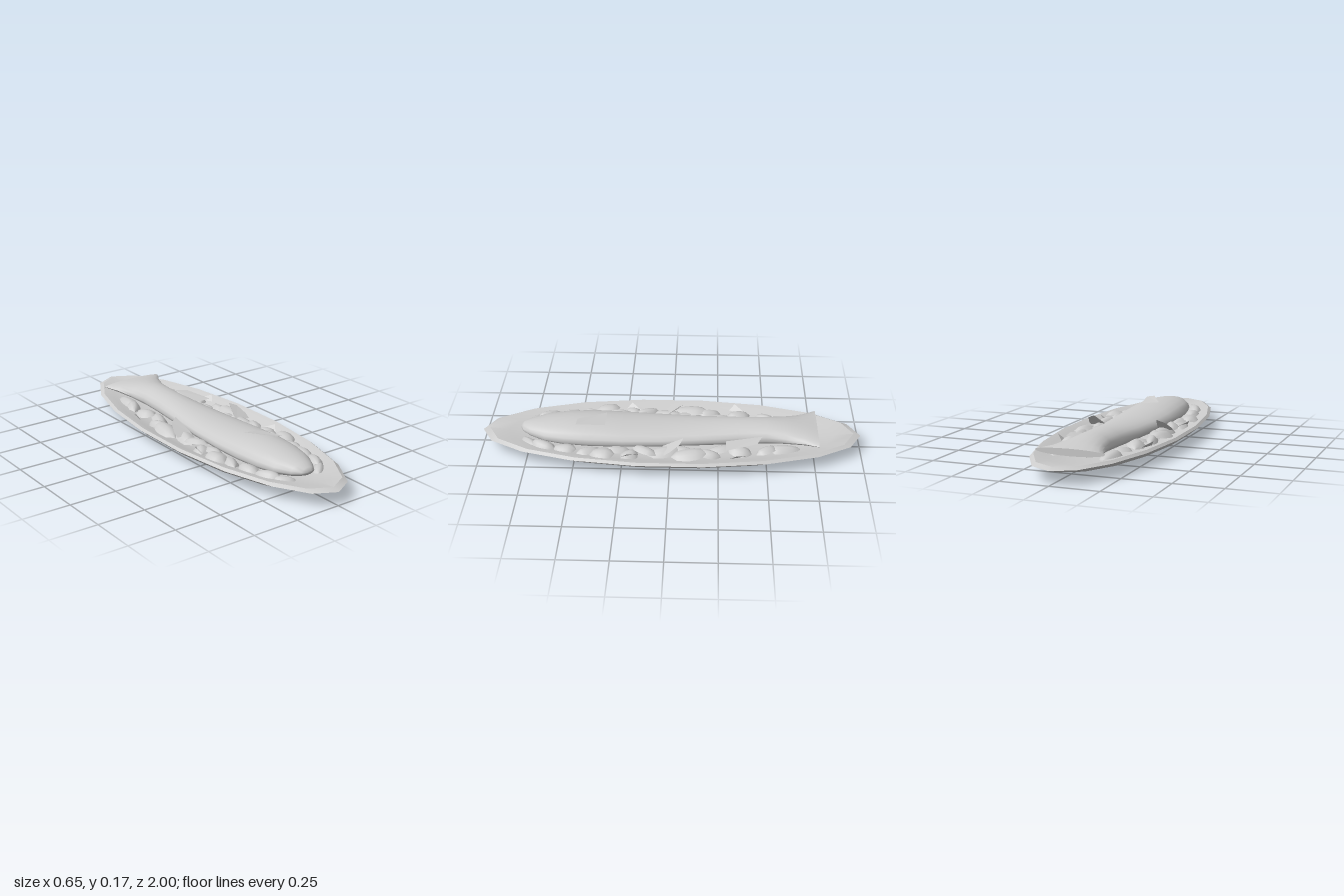
import * as THREE from 'three';
import { toCreasedNormals, mergeVertices } from 'three/addons/utils/BufferGeometryUtils.js';

const mat = new THREE.MeshStandardMaterial({ color: 0xcccccc });
const thin = new THREE.MeshStandardMaterial({ color: 0xcccccc, side: THREE.DoubleSide });

function add(parent, name, geometry, material = mat) {
  const mesh = new THREE.Mesh(geometry, material);
  mesh.name = name;
  parent.add(mesh);
  return mesh;
}

// Fan of triangles through an outline of [x, y, z] corners
function panel(corners) {
  const g = new THREE.BufferGeometry();
  g.setAttribute('position', new THREE.Float32BufferAttribute(corners.flat(), 3));
  const index = [];
  for (let i = 1; i < corners.length - 1; i++) index.push(0, i, i + 1);
  g.setIndex(index);
  const flat = g.toNonIndexed();
  flat.computeVertexNormals();
  return flat;
}

// Oval platter: an 18-sided turned profile stretched along z
function platter() {
  const profile = [
    [0, 0.003], [0.1, 0.005], [0.195, 0.02], [0.25, 0.04], [0.29, 0.04],
    [0.33, 0.073], [0.318, 0.085], [0.285, 0.075], [0.25, 0.058],
    [0.19, 0.044], [0.1, 0.034], [0, 0.032],
  ].map(([r, y]) => new THREE.Vector2(r, y));
  const g = new THREE.LatheGeometry(profile, 18);
  g.scale(1, 1, 1 / 0.33);
  return toCreasedNormals(g, 0.45);
}

// Fish body: elliptical sections from tail to snout
function fishBody() {
  const sides = 20;
  // z, half width, middle height, top, bottom
  const sections = [
    [-0.77, 0.18, 0.113, 0.128, 0.092],
    [-0.7, 0.145, 0.105, 0.138, 0.075],
    [-0.6, 0.115, 0.095, 0.15, 0.06],
    [-0.5, 0.1, 0.09, 0.157, 0.05],
    [-0.35, 0.103, 0.085, 0.153, 0.045],
    [-0.15, 0.122, 0.085, 0.142, 0.04],
    [0.05, 0.142, 0.085, 0.14, 0.04],
    [0.25, 0.153, 0.085, 0.149, 0.04],
    [0.42, 0.152, 0.085, 0.16, 0.042],
    [0.56, 0.138, 0.085, 0.157, 0.046],
    [0.66, 0.115, 0.087, 0.147, 0.052],
    [0.74, 0.072, 0.09, 0.132, 0.065],
    [0.78, 0.042, 0.095, 0.12, 0.08],
    [0.795, 0.012, 0.1, 0.106, 0.094],
  ];
  const pos = [], index = [];
  for (const [z, w, mid, top, bottom] of sections) {
    for (let i = 0; i < sides; i++) {
      const a = (i / sides) * Math.PI * 2, s = Math.sin(a);
      pos.push(w * Math.cos(a), mid + s * (s > 0 ? top - mid : mid - bottom), z);
    }
  }
  const n = sections.length;
  for (let j = 0; j < n - 1; j++) {
    for (let i = 0; i < sides; i++) {
      const a = j * sides + i, b = j * sides + (i + 1) % sides;
      index.push(a, b, b + sides, a, b + sides, a + sides);
    }
  }
  // Flat ends at the tail and the snout
  const last = (n - 1) * sides;
  for (let i = 1; i < sides - 1; i++) {
    index.push(0, i + 1, i, last, last + i, last + i + 1);
  }
  const g = new THREE.BufferGeometry();
  g.setAttribute('position', new THREE.Float32BufferAttribute(pos, 3));
  g.setIndex(index);
  g.computeVertexNormals();
  return toCreasedNormals(g, 0.9);
}

// Curled salad leaf, rounded in outline and bowed upwards
function leaf(length, halfWidth, bow) {
  let g = new THREE.PlaneGeometry(2, 1, 4, 6);
  g.deleteAttribute('uv');
  const p = g.attributes.position;
  for (let i = 0; i < p.count; i++) {
    const u = p.getX(i), v = p.getY(i);
    const w = Math.sqrt(Math.max(0, 1 - 4 * v * v));
    p.setXYZ(i, u * halfWidth * (w + 0.05), bow * (1 - u * u) * w, -v * length);
  }
  g = mergeVertices(g);
  g.computeVertexNormals();
  return g;
}

export function createModel() {
  const group = new THREE.Group();
  add(group, 'platter', platter());

  const fish = new THREE.Group();
  fish.name = 'fish';
  group.add(fish);
  add(fish, 'body', fishBody());
  add(fish, 'backFin', panel([
    [-0.04, 0.165, 0.34], [0.04, 0.173, 0.49], [0.085, 0.165, 0.495], [0.065, 0.152, 0.345],
  ]), thin);
  add(fish, 'sideFin', panel([
    [0.1, 0.12, -0.48], [0.12, 0.1, -0.29], [0.21, 0.1, -0.29], [0.165, 0.115, -0.45],
  ]), thin);

  // Leaves along both flanks: x, z, length, half width, yaw, roll
  const rows = [
    [0.14, -0.6, 0.18, 0.04, 0.1, -0.2],
    [0.16, -0.5, 0.12, 0.035, 0.5, 0.15],
    [0.175, -0.36, 0.13, 0.045, -0.3, -0.15],
    [0.15, -0.26, 0.15, 0.04, 0.3, 0.2],
    [0.2, -0.2, 0.13, 0.03, -0.2, -0.2],
    [0.215, -0.1, 0.19, 0.05, 0.1, -0.1],
    [0.17, -0.08, 0.18, 0.04, -0.3, 0.2],
    [0.185, 0.03, 0.18, 0.042, 0.2, -0.2],
    [0.19, 0.13, 0.14, 0.035, -0.4, 0.15],
    [0.215, 0.21, 0.1, 0.04, 0.6, -0.2],
    [0.18, 0.27, 0.14, 0.035, 0.1, 0.2],
    [0.225, 0.35, 0.13, 0.05, -0.1, -0.15],
    [0.185, 0.42, 0.14, 0.035, 0.4, 0.2],
    [0.175, 0.55, 0.13, 0.04, -0.1, -0.2],
    [0.15, 0.66, 0.14, 0.035, -0.4, -0.15],
    [0.11, 0.74, 0.13, 0.03, -0.8, -0.1],
  ];
  const garnish = new THREE.Group();
  garnish.name = 'garnish';
  group.add(garnish);
  for (const side of [-1, 1]) {
    rows.forEach(([x, z, length, halfWidth, yaw, roll], i) => {
      const m = add(garnish, 'leaf', leaf(length, halfWidth, 0.026), thin);
      m.position.set(side * x, 0.062 + 0.006 * (i % 3), z);
      m.rotation.set(i % 2 ? 0.1 : -0.1, side * yaw, side * roll);
    });
    // Tall leaf leaning back beside the body
    add(garnish, 'tallLeaf', panel([
      [0.145, 0.08, 0.04], [0.235, 0.08, 0.03], [0.235, 0.1, 0],
      [0.215, 0.133, -0.05], [0.175, 0.15, -0.07], [0.165, 0.12, -0.03],
    ].map(([x, y, z]) => [side * x, y, z])), thin);
    // Small pointed tips near the rim
    for (const z of [-0.36, 0.2]) {
      add(garnish, 'leafTip', panel([
        [side * 0.2, 0.065, z - 0.05], [side * 0.24, 0.07, z + 0.05], [side * 0.26, 0.098, z + 0.02],
      ]), thin);
    }
  }
  return group;
}
